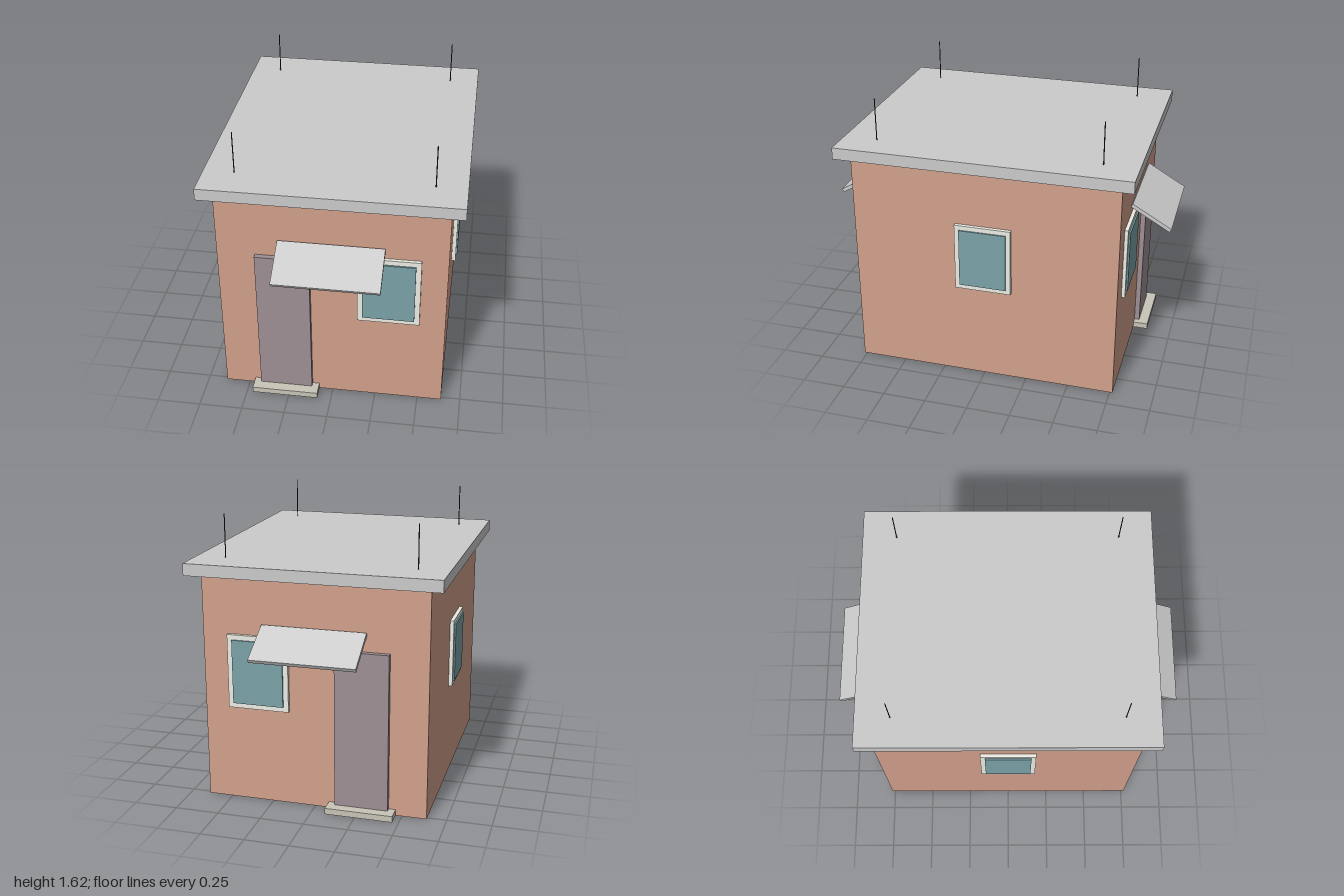
import * as THREE from 'three';

const mat = (color) => new THREE.MeshStandardMaterial({ color });

export function createModel() {
  const model = new THREE.Group();
  model.name = 'smallHut';
  const wall = mat(0xd2a08b), concrete = mat(0xcccccc), doorPaint = mat(0x9e9095);
  const glass = mat(0x7aa3a8), trim = mat(0xeeeee6), stone = mat(0xc8c5b8), metal = mat(0x333333);

  // Box given by its lower and upper corners
  function box(name, parent, material, [x0, y0, z0], [x1, y1, z1]) {
    const mesh = new THREE.Mesh(new THREE.BoxGeometry(x1 - x0, y1 - y0, z1 - z0), material);
    mesh.position.set((x0 + x1) / 2, (y0 + y1) / 2, (z0 + z1) / 2);
    mesh.name = name;
    parent.add(mesh);
    return mesh;
  }

  // Window facing +z, centred on its own origin at the wall surface
  function makeWindow(name, w, h, border, frameDepth, glassDepth) {
    const group = new THREE.Group();
    group.name = name;
    const outline = new THREE.Shape([
      [-w / 2, -h / 2], [w / 2, -h / 2], [w / 2, h / 2], [-w / 2, h / 2],
    ].map(([x, y]) => new THREE.Vector2(x, y)));
    const a = w / 2 - border, b = h / 2 - border;
    outline.holes.push(new THREE.Path([[-a, -b], [-a, b], [a, b], [a, -b]]
      .map(([x, y]) => new THREE.Vector2(x, y))));
    const frame = new THREE.Mesh(
      new THREE.ExtrudeGeometry(outline, { depth: frameDepth, bevelEnabled: false }), trim);
    frame.name = 'windowFrame';
    group.add(frame);
    box('windowGlass', group, glass, [-a, -b, 0], [a, b, glassDepth]);
    return group;
  }

  // Walls and flat roof
  box('walls', model, wall, [-0.64, 0, -0.767], [0.64, 1.315, 0.767]);
  box('roofSlab', model, concrete, [-0.715, 1.312, -0.84], [0.715, 1.38, 0.84]);

  for (const s of [1, -1]) {
    const end = s > 0 ? 'front' : 'back';
    const z = (depth) => [Math.min(s * 0.76, s * depth), Math.max(s * 0.76, s * depth)];

    // Door and doorstep, on the same side in x at both ends
    const [d0, d1] = z(0.797), [t0, t1] = z(0.855);
    box(end + 'Door', model, doorPaint, [-0.425, 0.035, d0], [-0.12, 0.94, d1]);
    box(end + 'Doorstep', model, stone, [-0.465, 0, t0], [-0.08, 0.035, t1]);

    // Sloping canopy
    const canopy = box(end + 'Canopy', model, concrete, [-0.296, -0.011, -0.13], [0.296, 0.011, 0.13]);
    canopy.position.set(0, 0.975, s * 0.882);
    canopy.rotation.x = s * Math.PI / 6;

    // End window
    const endWindow = makeWindow(end + 'Window', 0.35, 0.426, 0.029, 0.02, 0.029);
    endWindow.position.set(0.32, 0.769, s * 0.767);
    endWindow.rotation.y = s > 0 ? 0 : Math.PI;
    model.add(endWindow);

    // Side window
    const sideWindow = makeWindow(s > 0 ? 'leftWindow' : 'rightWindow', 0.325, 0.4, 0.027, 0.022, 0.03);
    sideWindow.position.set(s * 0.64, 0.77, 0);
    sideWindow.rotation.y = s * Math.PI / 2;
    model.add(sideWindow);

    // Thin rods near the roof corners
    for (const x of [-0.543, 0.543]) {
      const rod = new THREE.Mesh(new THREE.CylinderGeometry(0.003, 0.003, 0.245, 8), metal);
      rod.position.set(x, 1.502, s * 0.643);
      rod.name = 'roofRod';
      model.add(rod);
    }
  }
  return model;
}
